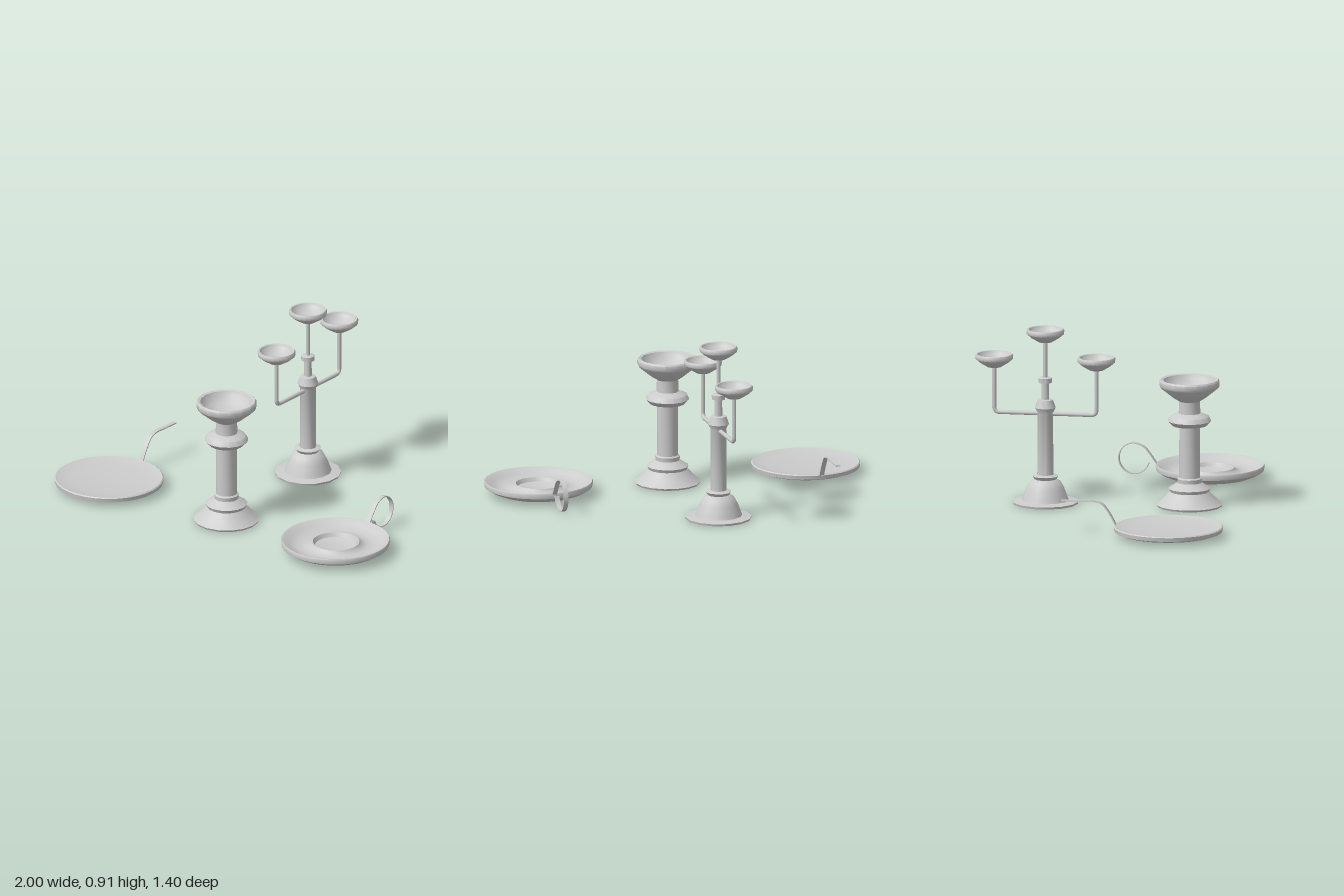
import * as THREE from 'three';
import { toCreasedNormals } from 'three/addons/utils/BufferGeometryUtils.js';

const material = new THREE.MeshStandardMaterial({ color: 0xcccccc });

function add(parent, name, geometry, x = 0, y = 0, z = 0) {
  const mesh = new THREE.Mesh(geometry, material);
  mesh.name = name;
  mesh.position.set(x, y, z);
  parent.add(mesh);
  return mesh;
}

function group(parent, name, x, z) {
  const g = new THREE.Group();
  g.name = name;
  g.position.set(x, 0, z);
  parent.add(g);
  return g;
}

// Turned part from [radius, height] pairs, listed from the underside up and over.
function turned(profile, sides) {
  const points = profile.map(([r, y]) => new THREE.Vector2(r, y));
  return toCreasedNormals(new THREE.LatheGeometry(points, sides), 0.75);
}

// Flat metal strip bent along a curve in the yz plane.
function strip(points, width, thickness, segments) {
  const curve = new THREE.CatmullRomCurve3(points.map(([z, y]) => new THREE.Vector3(0, y, z)));
  const geo = new THREE.BoxGeometry(width, thickness, 1, 1, 1, segments);
  const pos = geo.attributes.position;
  const side = new THREE.Vector3(1, 0, 0);
  for (let i = 0; i < pos.count; i++) {
    const t = THREE.MathUtils.clamp(pos.getZ(i) + 0.5, 0, 1);
    const p = curve.getPointAt(t);
    const up = curve.getTangentAt(t).cross(side).normalize();
    p.addScaledVector(up, pos.getY(i));
    pos.setXYZ(i, pos.getX(i), p.y, p.z);
  }
  geo.computeVertexNormals();
  return geo;
}

// Shallow cup that holds a candle, resting on y = 0
const cupProfile = [
  [0, 0], [0.036, 0], [0.075, 0.024], [0.096, 0.042], [0.098, 0.058], [0.092, 0.067],
  [0.085, 0.065], [0.078, 0.05], [0.05, 0.03], [0, 0.022],
];

export function createModel() {
  const model = new THREE.Group();
  model.name = 'candleHolders';

  // Flat plate with a swept-back strip handle
  const plate = group(model, 'flatPlate', -0.72, 0.415);
  add(plate, 'plateDish', turned([
    [0, 0.012], [0.18, 0.014], [0.25, 0.02], [0.277, 0.03], [0.28, 0.05], [0.274, 0.055],
    [0.265, 0.052], [0.2, 0.044], [0.1, 0.038], [0, 0.036],
  ], 32));
  add(plate, 'plateHandle', strip([
    [-0.272, 0.045], [-0.285, 0.075], [-0.315, 0.125], [-0.345, 0.16], [-0.39, 0.174],
    [-0.46, 0.172], [-0.555, 0.17],
  ], 0.024, 0.006, 24));

  // Deep dish with a central socket and a curled finger ring
  const dish = group(model, 'chamberDish', 0.72, 0.395);
  add(dish, 'dishBowl', turned([
    [0, 0.006], [0.16, 0.007], [0.21, 0.014], [0.25, 0.03], [0.276, 0.046], [0.28, 0.068],
    [0.276, 0.075], [0.265, 0.072], [0.24, 0.052], [0.2, 0.038], [0.16, 0.038],
    [0.132, 0.048], [0.124, 0.06], [0.116, 0.06], [0.105, 0.04], [0.07, 0.03], [0, 0.028],
  ], 32));
  const ring = [[-0.268, 0.06], [-0.287, 0.085], [-0.315, 0.125], [-0.342, 0.155]];
  for (let i = 0; i <= 11; i++) {
    const a = Math.PI * (0.5 + i * 0.128);
    ring.push([-0.393 + 0.08 * Math.cos(a), 0.094 + 0.08 * Math.sin(a)]);
  }
  add(dish, 'fingerRing', strip(ring, 0.024, 0.005, 48));

  // Stout single candlestick
  const stick = group(model, 'singleCandlestick', 0.025, 0.402);
  add(stick, 'stickBody', turned([
    [0, 0.002], [0.165, 0.004], [0.17, 0.014], [0.155, 0.024], [0.125, 0.055], [0.1, 0.08],
    [0.108, 0.097], [0.085, 0.112], [0.062, 0.127], [0.064, 0.148], [0.054, 0.154],
    [0.053, 0.42], [0.09, 0.426], [0.112, 0.45], [0.1, 0.473], [0.07, 0.484],
    [0.056, 0.49], [0.055, 0.553], [0.085, 0.572], [0.15, 0.625], [0.156, 0.637],
    [0.155, 0.658], [0.148, 0.666], [0.135, 0.662], [0.128, 0.645], [0.1, 0.615],
    [0.06, 0.598], [0, 0.592],
  ], 16));

  // Three-cup candelabrum, arms spread front to back
  const candelabrum = group(model, 'candelabrum', -0.015, -0.339);
  add(candelabrum, 'candelabrumColumn', turned([
    [0, 0.002], [0.168, 0.002], [0.171, 0.013], [0.122, 0.02], [0.118, 0.03], [0.1, 0.078],
    [0.08, 0.115], [0.056, 0.128], [0.068, 0.145], [0.042, 0.152], [0.04, 0.475],
    [0.054, 0.502], [0.04, 0.542], [0.02, 0.545], [0.019, 0.63], [0.034, 0.632],
    [0.035, 0.656], [0.026, 0.66], [0, 0.66],
  ], 14));
  add(candelabrum, 'centreStem', new THREE.CylinderGeometry(0.011, 0.011, 0.21, 10), 0, 0.755, 0);
  add(candelabrum, 'centreCup', turned(cupProfile, 24), 0, 0.845, 0);

  const reach = 0.265, bend = 0.028, barY = 0.47;
  for (const s of [1, -1]) {
    const path = new THREE.CurvePath();
    const a = new THREE.Vector3(0, barY, 0);
    const b = new THREE.Vector3(0, barY, s * (reach - bend));
    const corner = new THREE.Vector3(0, barY, s * reach);
    const c = new THREE.Vector3(0, barY + bend, s * reach);
    const d = new THREE.Vector3(0, 0.715, s * reach);
    path.add(new THREE.LineCurve3(a, b));
    path.add(new THREE.QuadraticBezierCurve3(b, corner, c));
    path.add(new THREE.LineCurve3(c, d));
    const label = s > 0 ? 'front' : 'back';
    add(candelabrum, label + 'Arm', new THREE.TubeGeometry(path, 60, 0.011, 10, false));
    add(candelabrum, label + 'Cup', turned(cupProfile, 24), 0, 0.706, s * reach);
  }

  return model;
}
